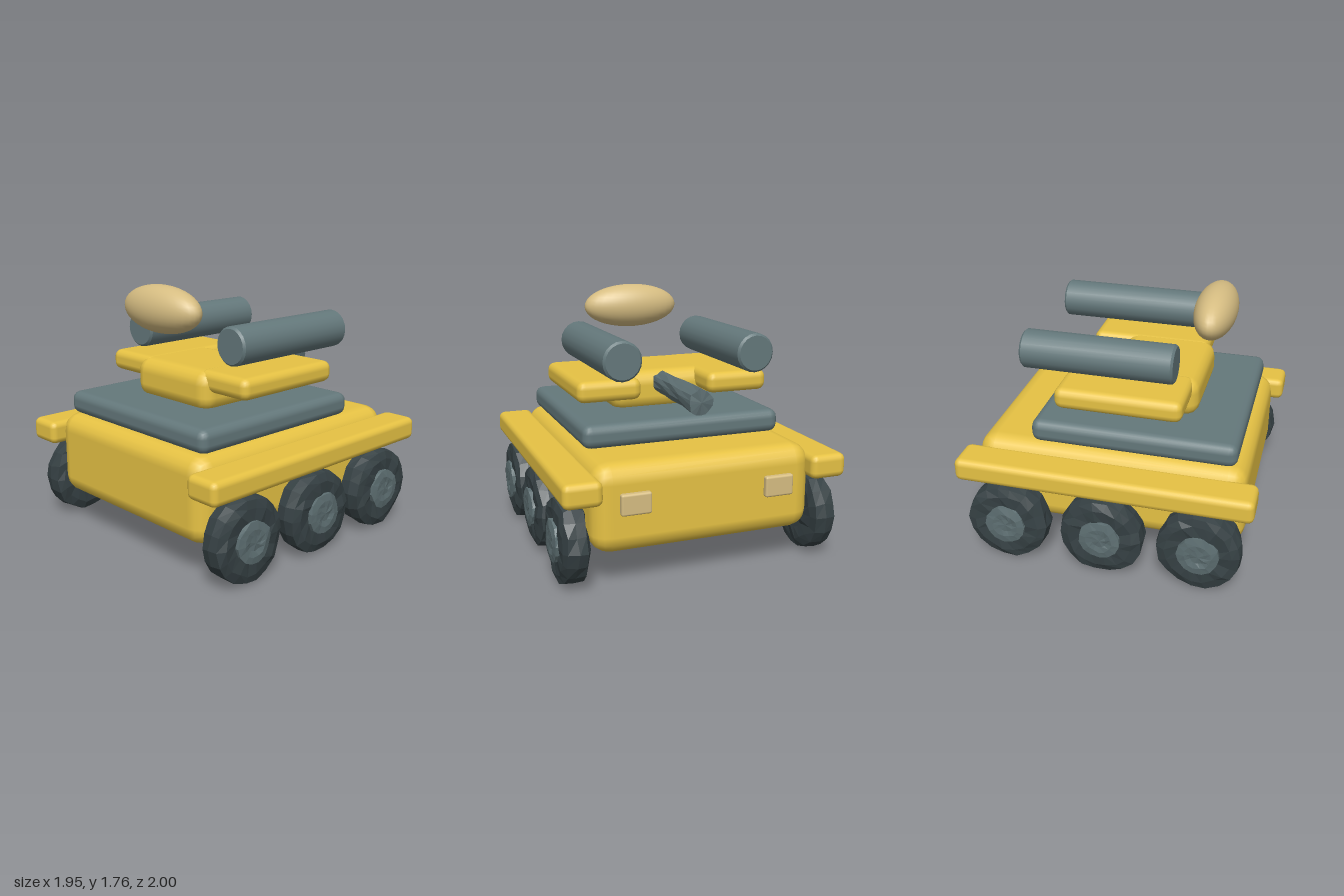
import * as THREE from 'three';
import { RoundedBoxGeometry } from 'three/addons/geometries/RoundedBoxGeometry.js';

const paint = (color, flatShading = false) => new THREE.MeshStandardMaterial({ color, flatShading });

// Repeatable offset in -1..1 from a position, so coincident vertices stay joined
function wobble(x, y, z, seed) {
  const r = (v) => Math.round(v * 1000);
  const s = Math.sin(r(x) * 12.99 + r(y) * 78.23 + r(z) * 37.72 + seed) * 43758.55;
  return (s - Math.floor(s)) * 2 - 1;
}

// Give a smooth form a rough, chiselled surface
function roughen(geometry, amount) {
  const p = geometry.attributes.position;
  for (let i = 0; i < p.count; i++) {
    const [x, y, z] = [p.getX(i), p.getY(i), p.getZ(i)];
    p.setXYZ(i, x + amount * wobble(x, y, z, 1), y + amount * wobble(x, y, z, 2), z + amount * wobble(x, y, z, 3));
  }
  geometry.computeVertexNormals();
  return geometry;
}

function lathe(points, sides) {
  return new THREE.LatheGeometry(points.map(([r, y]) => new THREE.Vector2(r, y)), sides);
}

export function createModel() {
  const model = new THREE.Group();
  model.name = 'armouredRover';

  const yellow = paint(0xe6c244);
  const slate = paint(0x64787b);
  const tan = paint(0xd6bd82);
  const rubber = paint(0x364144, true);
  const metal = paint(0x5c6d70, true);

  const add = (name, geometry, material, x = 0, y = 0, z = 0, parent = model) => {
    const mesh = new THREE.Mesh(geometry, material);
    mesh.name = name;
    mesh.position.set(x, y, z);
    parent.add(mesh);
    return mesh;
  };

  // Rounded block given by its extents on each axis
  const block = (name, material, [x0, x1], [y0, y1], [z0, z1], radius) =>
    add(name, new RoundedBoxGeometry(x1 - x0, y1 - y0, z1 - z0, 2, radius), material,
      (x0 + x1) / 2, (y0 + y1) / 2, (z0 + z1) / 2);

  // Body, deck and turret
  block('hull', yellow, [-0.755, 0.755], [0.24, 0.825], [-0.925, 0.92], 0.125);
  block('deck', slate, [-0.7, 0.7], [0.82, 0.98], [-0.545, 0.845], 0.06);
  block('turret', yellow, [-0.37, 0.37], [0.95, 1.23], [-0.14, 0.52], 0.1);

  // Sensor pod hovering over the turret front
  const pod = new THREE.SphereGeometry(1, 32, 20);
  pod.scale(0.36, 0.16, 0.142);
  add('sensorPod', pod, tan, 0, 1.61, 0.56);

  // Gun barrel pointing to the rear
  const barrel = new THREE.CylinderGeometry(0.085, 0.075, 0.7, 14, 4);
  barrel.rotateX(-Math.PI / 2);
  add('gunBarrel', roughen(barrel, 0.008), metal, 0, 1.14, -0.44);

  // Shared shapes for the launchers and wheels, turned about their own axis
  const launcher = lathe([[0, -0.512], [0.117, -0.512], [0.117, -0.512], [0.131, -0.497], [0.131, -0.497],
    [0.131, 0.497], [0.131, 0.497], [0.117, 0.512], [0.117, 0.512], [0, 0.512]], 20);
  launcher.rotateX(Math.PI / 2);

  const tyre = lathe([[0, -0.085], [0.13, -0.09], [0.22, -0.085], [0.275, -0.065], [0.287, 0],
    [0.275, 0.065], [0.22, 0.085], [0.14, 0.085], [0, 0.08]], 18);
  tyre.rotateZ(-Math.PI / 2);
  roughen(tyre, 0.009);

  const hub = lathe([[0.14, -0.02], [0.14, 0.012], [0.09, 0.02], [0.05, 0.014], [0, 0.016]], 14);
  hub.rotateZ(-Math.PI / 2);
  roughen(hub, 0.005);

  for (const side of [1, -1]) {
    const label = side > 0 ? 'left' : 'right';
    const span = (a, b) => (side > 0 ? [a, b] : [-b, -a]);

    block(label + 'Fender', yellow, span(0.708, 0.962), [0.6, 0.762], [-1, 1], 0.045);
    block(label + 'TurretWing', yellow, span(0.24, 0.685), [1.085, 1.232], [-0.38, 0.475], 0.055);
    block(label + 'TailPlate', tan, span(0.39, 0.59), [0.51, 0.65], [-0.962, -0.915], 0.015);
    add(label + 'Launcher', launcher, slate, side * 0.462, 1.4, -0.122);

    // Three wheels per side
    ['front', 'middle', 'rear'].forEach((place, i) => {
      const wheel = new THREE.Group();
      wheel.name = label + place[0].toUpperCase() + place.slice(1) + 'Wheel';
      wheel.position.set(side * 0.858, 0.297, 0.66 * (1 - i));
      if (side < 0) wheel.rotation.y = Math.PI;
      const turn = i * 0.7;
      add('tyre', tyre, rubber, 0, 0, 0, wheel).rotation.x = turn;
      add('hub', hub, metal, 0.092, 0, 0, wheel).rotation.x = turn;
      model.add(wheel);
    });
  }

  return model;
}
